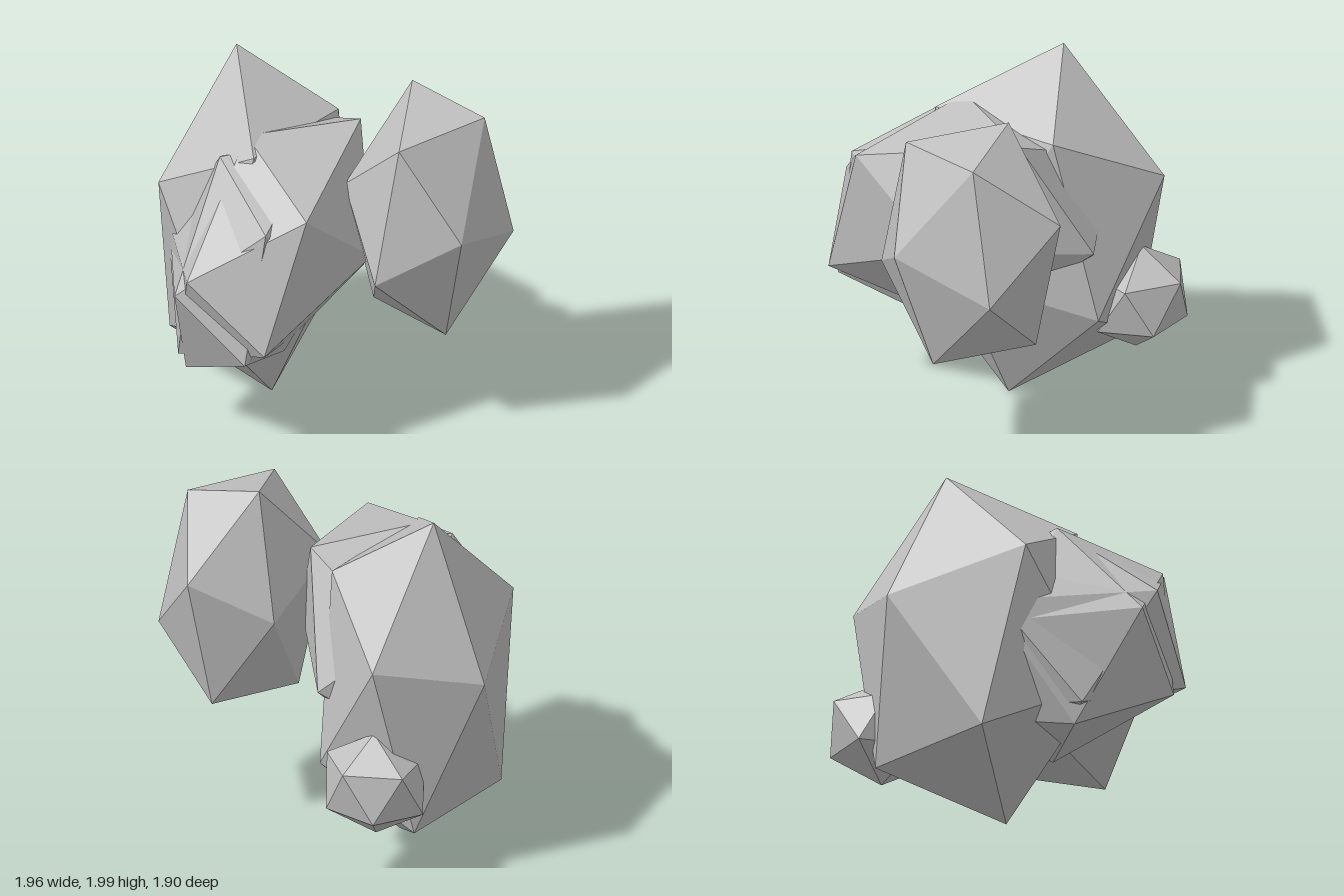
import * as THREE from 'three';
import { ConvexGeometry } from 'three/addons/geometries/ConvexGeometry.js';

const G = (Math.sqrt(5) - 1) / 2;

// A stretched icosahedron: three corners of one face, relative to the centre,
// fix the three neighbouring corners, and mirroring gives the other six.
function stretchedIcosahedron(face) {
  const [a, b, c] = face.map((p) => new THREE.Vector3(...p));
  const across = (p, q, r) => p.clone().add(q).multiplyScalar(G).sub(r);
  const half = [a, b, c, across(a, b, c), across(a, c, b), across(b, c, a)];
  return new ConvexGeometry([...half, ...half.map((p) => p.clone().negate())]);
}

export function createModel() {
  const group = new THREE.Group();
  group.name = 'rockCluster';
  const stone = new THREE.MeshStandardMaterial({ color: 0xbfbfbf });
  stone.name = 'grey stone';
  stone.flatShading = true;

  const rocks = [
    // tall rock standing apart on the left
    ['sideRock', [0.575, 1.315, -0.035],
      [[-0.035, 0.545, 0.375], [0.315, 0.015, 0.345], [-0.115, -0.225, 0.535]]],
    // largest rock, reaching the ground
    ['mainRock', [-0.465, 1.0, -0.115],
      [[-0.145, 0.995, -0.115], [-0.515, 0.17, -0.305], [-0.385, 0.39, 0.455]]],
    // two rocks grown into each other at the front
    ['frontRock', [-0.26, 1.095, 0.2],
      [[0.41, 0.455, 0.53], [0.24, -0.315, 0.73], [-0.2, 0.075, 0.75]]],
    ['innerFrontRock', [-0.327, 1.02, 0.29],
      [[0.187, -0.33, 0.62], [-0.293, -0.64, 0.24], [-0.223, 0.02, 0.61]]],
    // small boulder low on the back
    ['backBoulder', [-0.45, 0.61, -0.695],
      [[0, 0.303, -0.015], [0.28, 0.14, 0], [0.087, 0.145, -0.26]]],
  ];

  for (const [name, centre, face] of rocks) {
    const mesh = new THREE.Mesh(stretchedIcosahedron(face), stone);
    mesh.name = name;
    mesh.position.set(...centre);
    group.add(mesh);
  }
  return group;
}
